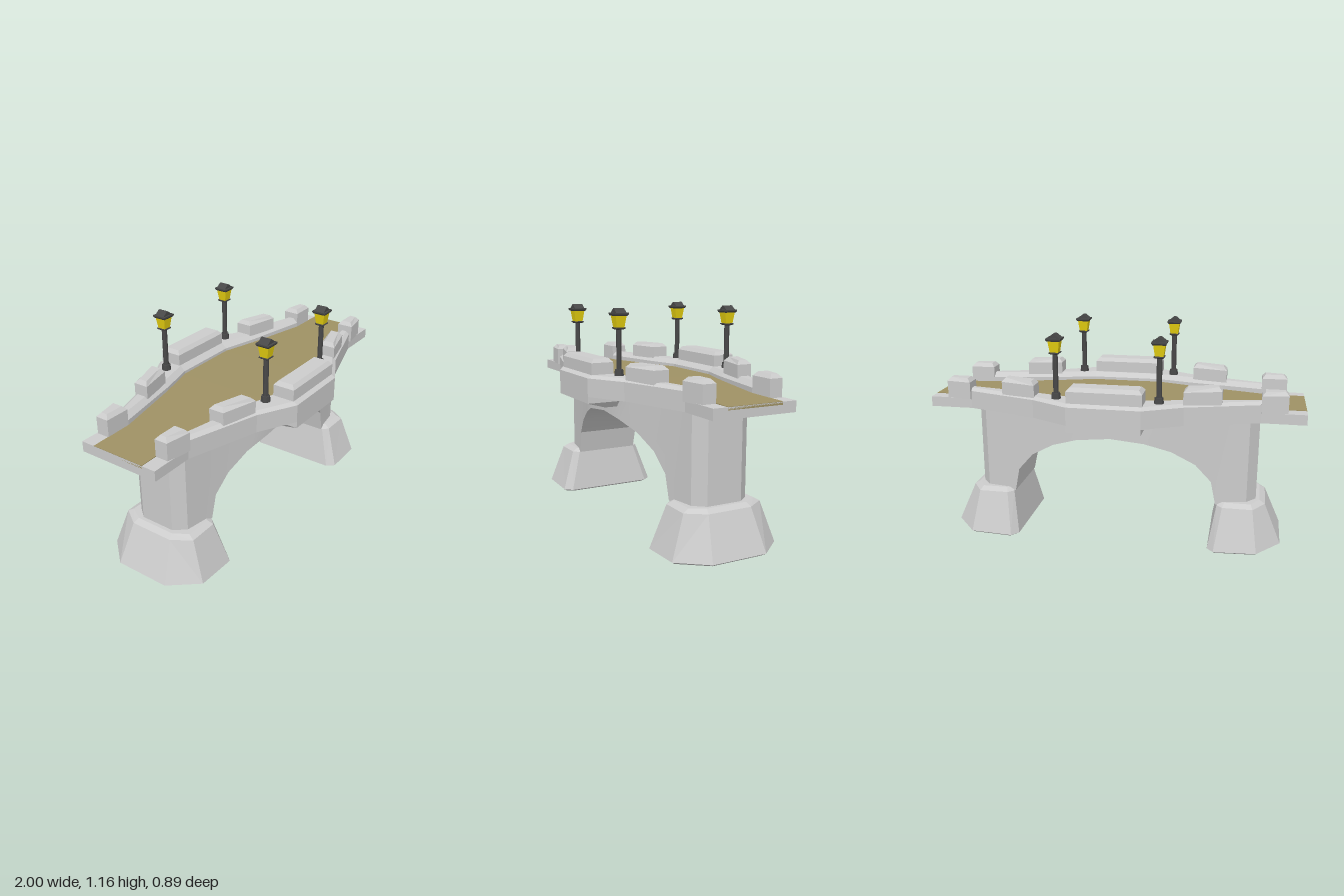
import * as THREE from 'three';
import { toCreasedNormals } from 'three/addons/utils/BufferGeometryUtils.js';

const stone = new THREE.MeshStandardMaterial({ color: 0xcccccc, flatShading: true });
const smoothStone = new THREE.MeshStandardMaterial({ color: 0xcccccc });
const earth = new THREE.MeshStandardMaterial({ color: 0x9e9164, flatShading: true });
const iron = new THREE.MeshStandardMaterial({ color: 0x484848, flatShading: true });
const glow = new THREE.MeshStandardMaterial({ color: 0xe6d010, flatShading: true });

// Closed solid through a list of convex rings; turned outward whatever the ring order
function loft(rings) {
  const tris = [], n = rings[0].length, last = rings[rings.length - 1];
  for (let i = 0; i < rings.length - 1; i++) {
    for (let j = 0; j < n; j++) {
      const k = (j + 1) % n;
      const a = rings[i][j], b = rings[i][k], c = rings[i + 1][k], d = rings[i + 1][j];
      tris.push([a, b, c], [a, c, d]);
    }
  }
  for (let j = 1; j < n - 1; j++) {
    tris.push([rings[0][0], rings[0][j + 1], rings[0][j]], [last[0], last[j], last[j + 1]]);
  }
  let volume = 0;
  for (const [a, b, c] of tris) {
    volume += new THREE.Vector3(...a).dot(new THREE.Vector3(...b).cross(new THREE.Vector3(...c)));
  }
  if (volume < 0) tris.forEach((t) => t.reverse());
  const geo = new THREE.BufferGeometry();
  geo.setAttribute('position', new THREE.Float32BufferAttribute(tris.flat(2), 3));
  geo.computeVertexNormals();
  return geo;
}

// Plan outline [x, z] placed at a height
const level = (plan, y) => plan.map(([x, z]) => [x, y, z]);

// Plan outline drawn in toward its centre by a fixed step
function inset(plan, d) {
  const cx = plan.reduce((s, p) => s + p[0], 0) / plan.length;
  const cz = plan.reduce((s, p) => s + p[1], 0) / plan.length;
  return plan.map(([x, z]) => [x - d * Math.sign(x - cx), z - d * Math.sign(z - cz)]);
}

const rect = (x0, x1, z0, z1) => [[x0, z0], [x0, z1], [x1, z1], [x1, z0]];
const bothEnds = (half) => [...half.map(([x, ...r]) => [-x, ...r]), ...[...half].reverse()];

export function createModel() {
  const model = new THREE.Group();
  const add = (name, geo, mat = stone, parent = model) => {
    const mesh = new THREE.Mesh(geo, mat);
    mesh.name = name;
    parent.add(mesh);
    return mesh;
  };

  // Deck stations: x, outer half width, inner half width, road height
  const deck = bothEnds([[1, 0.222, 0.145, 0.776], [0.77, 0.222, 0.145, 0.78],
    [0.39, 0.34, 0.22, 0.787], [0.19, 0.447, 0.272, 0.79]]);
  const band = (x, z, y0, y1) => [[x, y0, -z], [x, y0, z], [x, y1, z], [x, y1, -z]];
  add('deckSlab', loft(deck.map(([x, o]) => band(x, o, 0.72, 0.774))));
  add('roadSurface', loft(deck.map(([x, , i, y]) => band(x, i + 0.002, 0.76, y))), earth);

  // Arched body with chamfered ends: x, underside height, half width
  const body = bothEnds([[0.77, 0.24, 0.095], [0.72, 0.24, 0.155], [0.557, 0.24, 0.182],
    [0.53, 0.37, 0.188], [0.445, 0.467, 0.206], [0.32, 0.54, 0.235], [0.18, 0.588, 0.272]]);
  body.splice(body.length / 2, 0, [0, 0.605, 0.272]);
  add('archBody', toCreasedNormals(loft(body.map(([x, y, z]) => band(x, z, y, 0.722))), 0.5), smoothStone);

  for (const s of [1, -1]) {
    // Parapet with bevelled top edges
    add('parapet', loft(deck.slice(1, -1).map(([x, o, i]) => [[x, 0.772, s * i], [x, 0.772, s * o],
      [x, 0.815, s * o], [x, 0.83, s * (o - 0.022)], [x, 0.83, s * (i + 0.028)], [x, 0.805, s * i]])));

    // Corbel under the widened middle
    add('corbel', loft([level(rect(-0.19, 0.19, s * 0.2, s * 0.447), 0.722),
      level(rect(-0.19, 0.19, s * 0.2, s * 0.447), 0.685),
      level(rect(-0.165, 0.165, s * 0.2, s * 0.34), 0.653)]));

    // Capped blocks on the parapet
    const block = (name, plan, y0, y1) => add(name, loft([level(plan, y0),
      level(plan, y1 - 0.02), level(inset(plan, 0.018), y1)]));
    block('middleBlock', rect(-0.193, 0.193, s * 0.305, s * 0.425), 0.82, 0.91);
    for (const e of [1, -1]) {
      const place = (plan) => plan.map(([x, z]) => [e * x, s * z]);
      block('sideBlock', place([[0.385, 0.24], [0.385, 0.33], [0.575, 0.277], [0.575, 0.195]]), 0.82, 0.908);
      block('endPost', place([[0.77, 0.145], [0.77, 0.236], [0.905, 0.215], [0.905, 0.145]]), 0.77, 0.884);
    }
  }

  // Flared footings, slightly lower on the arch side
  const footing = (inner, innerZ, side, z, shoulder, outer, outerZ) => {
    const half = [[inner, innerZ], [side, z], [shoulder, z], [outer, outerZ]];
    return [...half, ...[...half].reverse().map(([x, w]) => [x, -w])];
  };
  const sole = footing(0.545, 0.235, 0.57, 0.275, 0.775, 0.89, 0.14);
  const foot = footing(0.525, 0.25, 0.56, 0.293, 0.785, 0.91, 0.15);
  const neck = footing(0.565, 0.185, 0.595, 0.217, 0.755, 0.82, 0.12);
  const collar = footing(0.575, 0.155, 0.605, 0.185, 0.745, 0.79, 0.11);
  const tilt = (x) => (x - 0.53) * 0.04;
  for (const e of [1, -1]) {
    const rings = [
      sole.map(([x, z]) => [e * x, tilt(x) - 0.0006, z]),
      foot.map(([x, z]) => [e * x, tilt(x) + 0.012, z]),
      level(neck, 0.238).map(([x, y, z]) => [e * x, y, z]),
      level(collar, 0.256).map(([x, y, z]) => [e * x, y, z]),
    ];
    add('footing', loft(rings));
  }

  // Lamp posts
  const square = (h, y) => level(rect(-h, h, -h, h), y);
  for (const x of [-0.265, 0.265]) {
    for (const z of [-0.336, 0.307]) {
      const lamp = new THREE.Group();
      lamp.name = 'lampPost';
      lamp.position.set(x, 0, z);
      model.add(lamp);
      add('lampFoot', new THREE.CylinderGeometry(0.022, 0.026, 0.035, 8).translate(0, 0.843, 0), iron, lamp);
      add('lampPole', new THREE.CylinderGeometry(0.014, 0.014, 0.225, 8).translate(0, 0.958, 0), iron, lamp);
      add('lanternTray', loft([square(0.018, 1.06), square(0.026, 1.066), square(0.026, 1.071)]), iron, lamp);
      add('lanternGlass', loft([square(0.021, 1.07), square(0.03, 1.132)]), glow, lamp);
      add('lanternBrim', loft([square(0.033, 1.128), square(0.038, 1.136), square(0.038, 1.143)]), iron, lamp);
      // Roof ridge runs front to back
      add('lanternRoof', loft([level(rect(-0.034, 0.034, -0.028, 0.028), 1.142),
        level(rect(-0.004, 0.004, -0.028, 0.028), 1.165)]), iron, lamp);
    }
  }
  return model;
}
